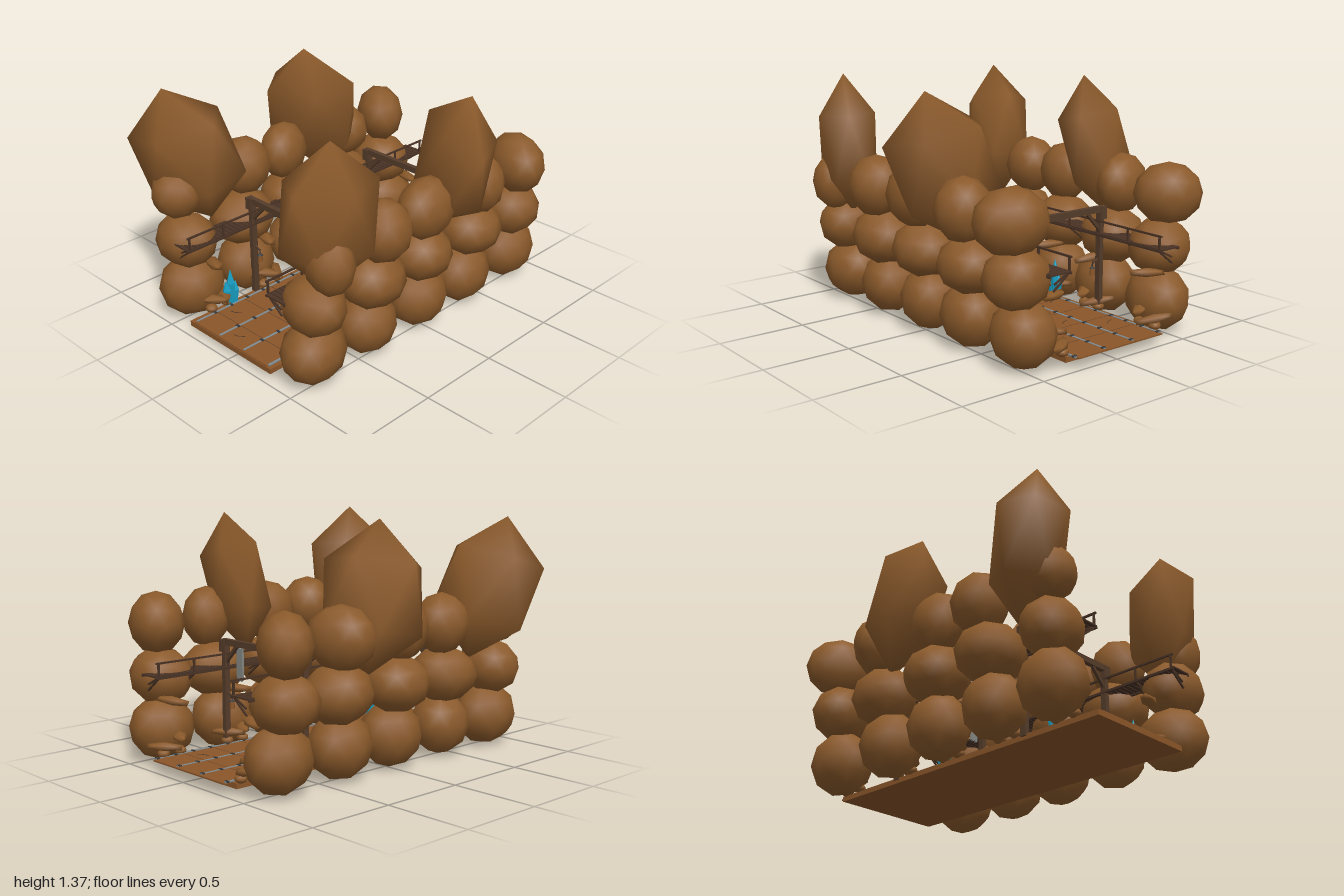
import * as THREE from 'three';
import { mergeVertices } from 'three/addons/utils/BufferGeometryUtils.js';

const material = (name, color) => {
  const m = new THREE.MeshStandardMaterial({ color });
  m.name = name;
  return m;
};

// Smooth-shaded icosahedron with one vertex pointing up
function stone(detail) {
  let g = new THREE.IcosahedronGeometry(1, detail);
  g.deleteAttribute('uv');
  g.deleteAttribute('normal');
  g = mergeVertices(g, 1e-4);
  g.rotateX(-Math.atan2((1 + Math.sqrt(5)) / 2, 1));
  g.computeVertexNormals();
  return g;
}

export function createModel() {
  const model = new THREE.Group();
  const rock = material('brown rock', 0x8b5a2b);
  const plank = material('floor plank', 0x8b5629);
  const timber = material('portal timber', 0x553c2a);
  const darkTimber = material('dark ledge timber', 0x4a3325);
  const iron = material('dark iron', 0x3a3a3a);
  const steel = material('grey steel', 0x7f8c93);
  const board = material('grey board', 0x868886);
  const crystal = material('blue crystal', 0x189fc4);

  const MID = -0.035; // centre line of the passage
  let seed = 7;
  const rand = (a, b) => {
    seed = (seed * 16807) % 2147483647;
    return a + (b - a) * (seed / 2147483647);
  };
  const add = (name, geo, mat, x, y, z) => {
    const m = new THREE.Mesh(geo, mat);
    m.name = name;
    m.position.set(x, y, z);
    model.add(m);
    return m;
  };
  const box = (name, mat, w, h, d, x, y, z) => add(name, new THREE.BoxGeometry(w, h, d), mat, x, y, z);
  // Square bar between two points
  const bar = (name, mat, t, a, b) => {
    const p = new THREE.Vector3(...a), q = new THREE.Vector3(...b);
    const m = box(name, mat, t, t, p.distanceTo(q), ...p.clone().add(q).multiplyScalar(0.5));
    m.lookAt(q);
    return m;
  };
  const sharp = stone(0), round = stone(1);

  // Floor slab, plank sheet, steel strips and iron cleats
  box('floorSlab', plank, 0.675, 0.03, 1.9, MID, 0.055, 0.01);
  for (let i = 0; i < 3; i++)
    box('floorPlank', plank, 0.2, 0.008, 1.955, MID - 0.202 + i * 0.202, 0.072, -0.022);
  for (let i = 0; i < 4; i++) {
    const x = MID - 0.298 + i * 0.202;
    box('floorStrip', steel, 0.013, 0.007, 1.93, x, 0.075, -0.02);
    for (let k = 0; k < 16; k++)
      box('floorCleat', iron, 0.025, 0.008, 0.014, x, 0.078, -0.97 + k * 0.119);
  }
  // Thin joints across the planks
  for (let i = 0; i < 9; i++)
    box('floorJoint', timber, 0.61, 0.002, 0.003, MID, 0.0755, -0.8 + i * 0.2);
  // Cracks in the planks
  for (let i = 0; i < 8; i++)
    for (const [j, x] of [-0.25, -0.05, 0.17].entries()) {
      const z = -0.8 + i * 0.235 + (j === 0 ? 0.12 : j * 0.03);
      if ((i + j) % 2) continue;
      for (const s of [-1, 1])
        box('crack', timber, 0.035, 0.002, 0.004, x + s * 0.015, 0.077, z - s * 0.008).rotation.y = s > 0 ? 0.7 : 0.25;
    }

  // Two timber portals with corner braces
  for (const z of [0.48, -0.475]) {
    box('portalBeam', timber, 0.7, 0.035, 0.03, MID, 0.66, z);
    for (const s of [-1, 1]) {
      const x = MID + s * 0.332;
      box('portalPost', timber, 0.028, 0.58, 0.035, x, 0.35, z);
      box('portalCap', timber, 0.043, 0.07, 0.042, MID + s * 0.345, 0.638, z);
      bar('portalBrace', timber, 0.018, [x, 0.54, z], [x - s * 0.1, 0.645, z]);
      // Lantern on a short arm
      const lx = MID + s * 0.28;
      bar('lanternArm', timber, 0.01, [x, 0.375, z], [lx, 0.355, z]);
      bar('lanternHook', iron, 0.005, [lx, 0.355, z], [lx, 0.325, z]);
      add('lantern', new THREE.CylinderGeometry(0.013, 0.016, 0.04, 8), plank, lx, 0.303, z);
      add('lanternCap', new THREE.ConeGeometry(0.018, 0.014, 8), iron, lx, 0.33, z);
    }
  }

  // Hanging board with a notched foot and a painted cross
  const sign = new THREE.Shape([[-0.025, 0.09], [0.025, 0.09], [0.025, -0.09], [0.012, -0.1],
    [0.004, -0.085], [-0.012, -0.098], [-0.025, -0.088]].map(p => new THREE.Vector2(...p)));
  add('hangingBoard', new THREE.ExtrudeGeometry(sign, { depth: 0.012, bevelEnabled: false }), board, 0.2, 0.54, -0.456);
  for (const s of [-1, 1])
    box('boardCross', iron, 0.04, 0.006, 0.004, 0.2, 0.565, -0.443).rotation.z = s * 0.8;

  // Slatted ledges with handrails and struts along both walls
  for (const s of [-1, 1]) {
    const inner = MID + s * 0.322, outer = MID + s * 0.458, centre = (inner + outer) / 2;
    for (let i = 0; i < 64; i++)
      box('ledgeSlat', darkTimber, 0.135, 0.008, 0.025, centre, 0.517, -0.945 + i * 0.03);
    for (const x of [inner, outer])
      box('ledgeRail', darkTimber, 0.012, 0.012, 1.91, x, 0.51, 0);
    box('handrail', darkTimber, 0.01, 0.01, 1.91, inner, 0.592, 0);
    for (let i = 0; i < 9; i++) {
      const z = -0.94 + i * 0.235;
      box('handrailPost', darkTimber, 0.01, 0.075, 0.01, inner, 0.555, z);
      bar('ledgeStrut', darkTimber, 0.009, [inner, 0.51, z], [MID + s * 0.425, 0.43, z]);
      bar('ledgeStrut', darkTimber, 0.009, [inner, 0.515, z], [MID + s * 0.42, 0.465, z]);
    }
  }

  // Lower and middle boulder rows on both walls: y, x offset, rx, ry, then [z, rz] per column
  const rows = [
    [0.192, 0.495, 0.168, 0.18, [[0.8, 0.197], [0.405, 0.177], [0, 0.183], [-0.38, 0.188], [-0.8, 0.193]]],
    [0.478, 0.517, 0.19, 0.163, [[0.81, 0.16], [0.4, 0.2], [0.01, 0.192], [-0.415, 0.195], [-0.78, 0.172]]],
  ];
  for (const s of [-1, 1])
    for (const [y, x, rx, ry, columns] of rows)
      for (const [z, rz] of columns) {
        const m = add('boulder', round, rock, MID + s * x + rand(0, 0.015), y, z + (s < 0 ? 0.015 : 0));
        m.scale.set(rx, ry * rand(0.97, 1.03), rz);
        m.rotation.set(rand(-0.12, 0.12), rand(-0.2, 0.2), rand(-0.1, 0.1));
      }

  // Upper boulders: position, radii, yaw
  for (const [x, y, z, rx, ry, rz, yaw] of [
    [-0.575, 0.765, 0.84, 0.145, 0.15, 0.15, 0],
    [-0.575, 0.775, 0.36, 0.155, 0.175, 0.165, 0],
    [-0.575, 0.775, 0.05, 0.13, 0.175, 0.165, 0.2],
    [-0.585, 0.775, -0.42, 0.195, 0.175, 0.14, 0.4],
    [-0.575, 0.775, -0.79, 0.195, 0.175, 0.145, -0.6],
    [0.585, 0.745, 0.79, 0.14, 0.17, 0.125, 0],
    [0.56, 0.775, 0.385, 0.16, 0.178, 0.165, -0.3],
    [0.545, 0.775, 0.03, 0.14, 0.178, 0.195, 0],
    [0.55, 0.775, -0.42, 0.16, 0.178, 0.14, -0.5],
    [0.53, 0.775, -0.78, 0.205, 0.178, 0.155, -0.35],
  ]) {
    const m = add('upperBoulder', round, rock, x, y, z);
    m.scale.set(rx, ry, rz);
    m.rotation.y = yaw;
  }

  // Tall pointed rocks: centre, peak, long and short radius, yaw of the long axis, end that carries a shoulder
  const up = new THREE.Vector3(0, 1, 0);
  for (const [c, p, long, short, yaw, end] of [
    [[-0.6, 0.95, 0.735], [-0.65, 1.355, 0.84], 0.315, 0.22, 0.785, -1],
    [[-0.59, 0.965, -0.2], [-0.56, 1.37, -0.12], 0.31, 0.21, 0.6, 1],
    [[0.525, 0.965, 0.735], [0.545, 1.38, 0.74], 0.29, 0.19, 1.1, 1],
    [[0.53, 0.965, -0.215], [0.635, 1.37, -0.21], 0.315, 0.2, -0.45, 1],
  ]) {
    const axis = new THREE.Vector3(...p).sub(new THREE.Vector3(...c));
    const m = add('tallRock', sharp.clone().rotateY(end * Math.PI / 2), rock, ...c);
    m.scale.set(long, axis.length(), short);
    m.quaternion.setFromUnitVectors(up, axis.normalize());
    m.rotateY(yaw);
  }

  // Flat stone shards and pebbles poking into the passage
  for (const s of [-1, 1])
    for (const z of [0.76, 0.37, -0.04, -0.41, -0.85]) {
      for (const [y, dz, yaw] of [[0.13, -0.05, 0.6], [0.16, 0.05, -0.5], [0.375, 0.01, 0.35]]) {
        const m = add('stoneShard', sharp, rock, MID + s * 0.34, y + rand(-0.012, 0.012), z + dz);
        m.scale.set(0.12, 0.026, 0.042);
        m.rotation.set(0, s * yaw, s * rand(-0.15, 0.2));
      }
      for (const dz of [-0.06, 0.05])
        add('pebble', round, rock, MID + s * 0.335, 0.09, z + dz).scale.set(0.035, 0.025, 0.035);
    }

  // Blue crystal clusters at the foot of the walls
  for (const s of [-1, 1])
    for (const z of [0.675, -0.115])
      for (const [dz, h, lean] of [[0, 0.225, 0], [0.02, 0.16, 0.1], [-0.02, 0.14, -0.1]]) {
        const x = MID + s * 0.32;
        const shaft = new THREE.CylinderGeometry(0.025, 0.019, h * 0.6, 6).translate(0, h * 0.3, 0);
        const tip = new THREE.ConeGeometry(0.025, h * 0.4, 6).translate(0, h * 0.8, 0);
        for (const g of [shaft, tip]) {
          const flat = g.toNonIndexed();
          flat.computeVertexNormals();
          add('crystal', flat, crystal, x, 0.07, z + dz).rotation.x = lean;
        }
      }
  return model;
}
